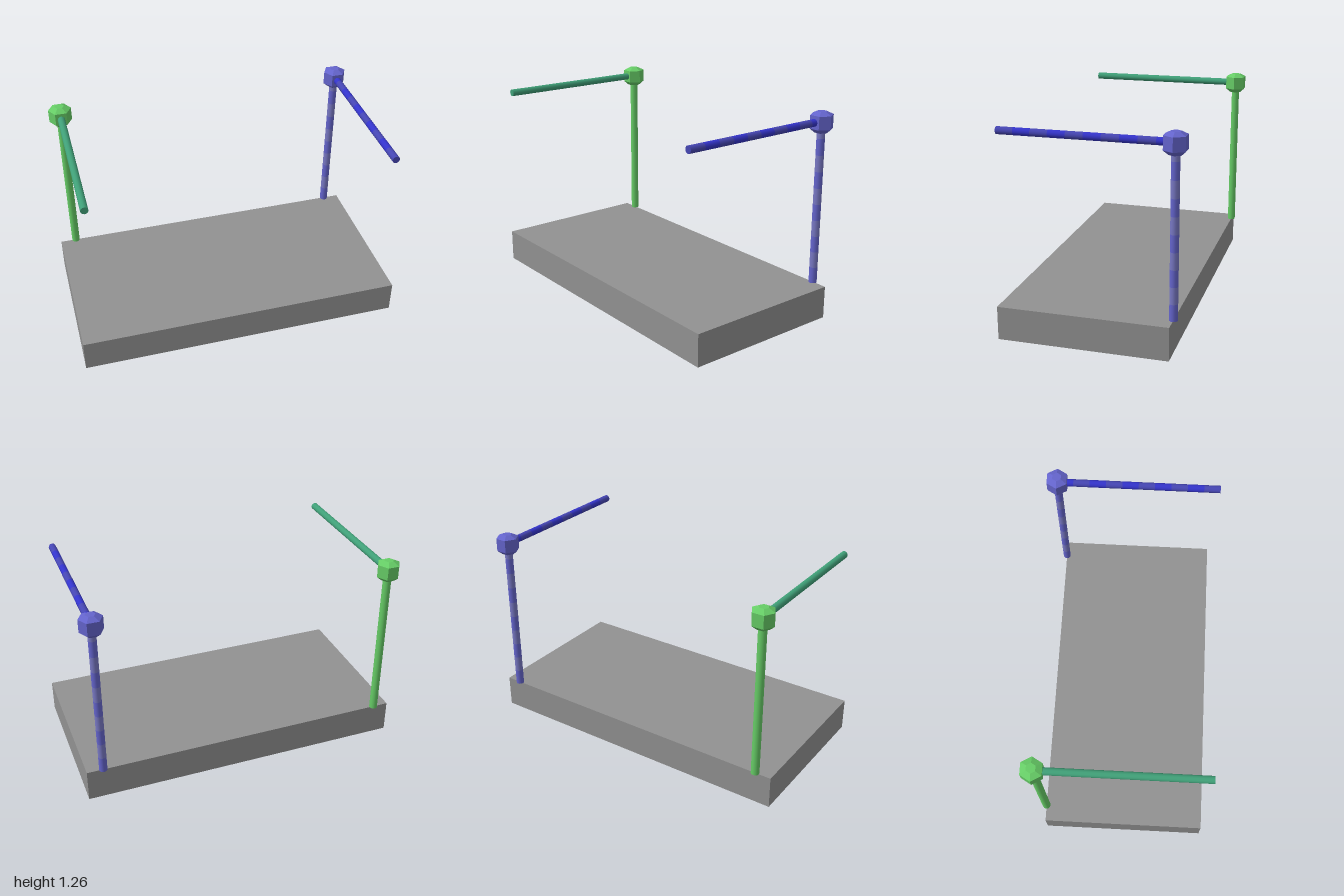
import * as THREE from 'three';

const mat = (name, color, flatShading = false) => {
  const m = new THREE.MeshStandardMaterial({ color });
  m.name = name;
  m.flatShading = flatShading;
  return m;
};

export function createModel() {
  const root = new THREE.Group();
  root.name = 'cornerGuides';
  const grey = mat('baseGrey', 0x919191);
  const green = mat('postGreen', 0x66cc66);
  const seaGreen = mat('armGreen', 0x40a078);
  const blue = mat('postBlue', 0x6464cc);
  const paleBlue = mat('postBandBlue', 0x7878c4);
  const deepBlue = mat('armBlue', 0x3434cc);
  const dullBlue = mat('armBandBlue', 0x4646b4);

  const add = (parent, name, geometry, material) => {
    const mesh = new THREE.Mesh(geometry, material);
    mesh.name = name;
    parent.add(mesh);
    return mesh;
  };

  // Slab
  const backZ = -0.47, frontZ = 0.53;
  add(root, 'base', new THREE.BoxGeometry(2, 0.2, 1), grey).position.set(0, 0.1, (backZ + frontZ) / 2);

  // Rod along +y made of equal bands that cycle through the materials
  const rod = (name, radius, length, bands, materials) => {
    const group = new THREE.Group();
    group.name = name;
    const h = length / bands;
    for (let i = 0; i < bands; i++) {
      const inner = i > 0 && i < bands - 1;
      const band = add(group, name + 'Band', new THREE.CylinderGeometry(radius, radius, h, 12, 1, inner),
        materials[i % materials.length]);
      band.position.y = h * (i + 0.5);
    }
    return group;
  };

  // Hexagonal joint with chamfered top and bottom
  const profile = [[0, -0.065], [0.04, -0.065], [0.07, -0.04], [0.07, 0.04], [0.03, 0.06], [0, 0.06]]
    .map(([r, y]) => new THREE.Vector2(r, y));

  const guide = (name, x, bands, postMats, armMats, jointMat) => {
    const group = new THREE.Group();
    group.name = name;
    group.position.set(x, 0, backZ);
    const post = rod('post', 0.025, 1, bands, postMats);
    post.position.y = 0.2;
    const arm = rod('arm', 0.0225, 1, bands, armMats);
    arm.rotation.x = Math.PI / 2;
    arm.position.y = 1.2;
    group.add(post, arm);
    const jointGeo = new THREE.LatheGeometry(profile, 6, Math.PI / 2).toNonIndexed();
    jointGeo.computeVertexNormals();
    add(group, 'joint', jointGeo, jointMat).position.y = 1.2;
    root.add(group);
  };

  guide('rightGuide', -0.9, 1, [green], [seaGreen], green);
  guide('leftGuide', 0.9, 10, [blue, paleBlue], [deepBlue, dullBlue], blue);
  return root;
}
